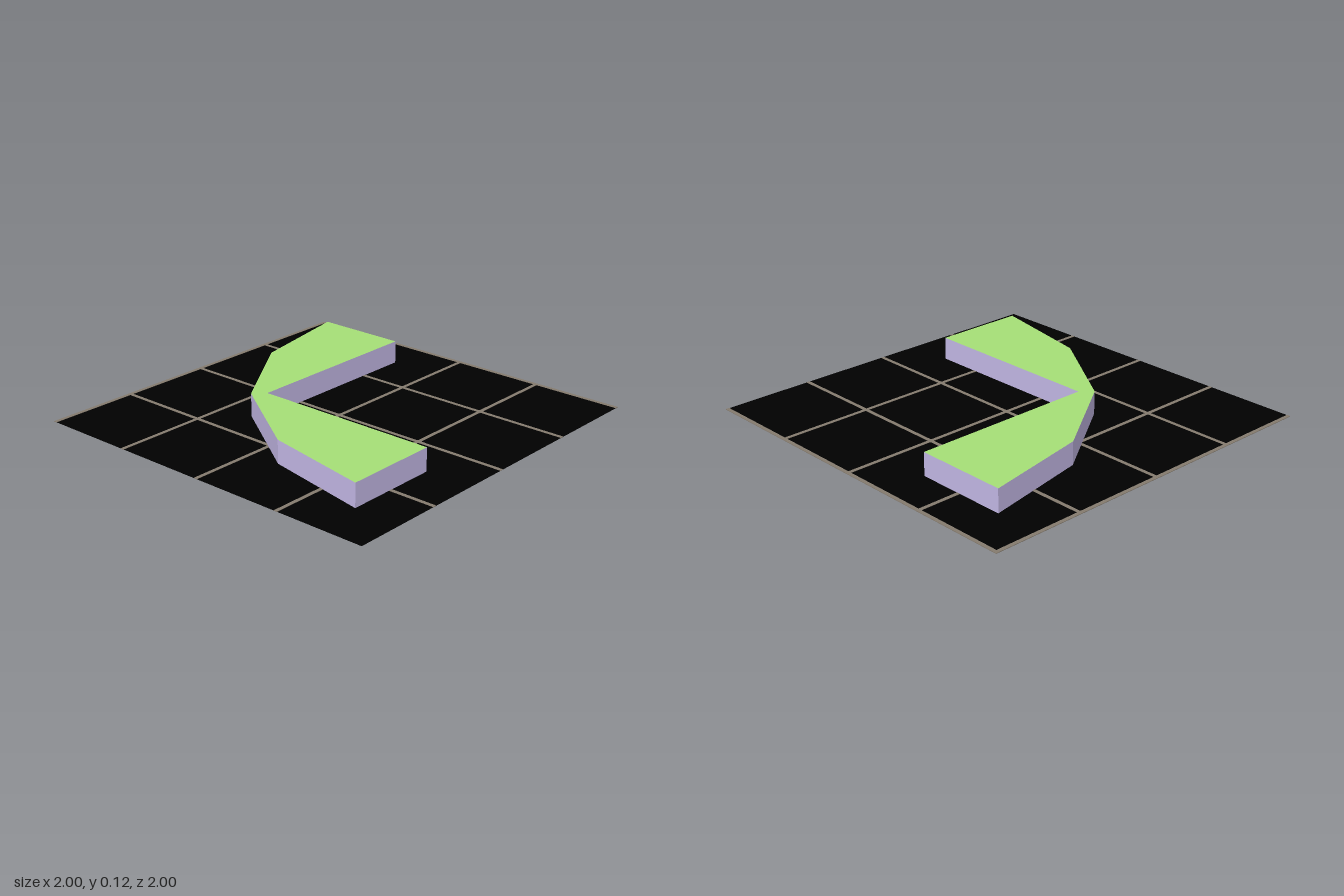
import * as THREE from 'three';

const mat = (name, color, extra = {}) => {
  const m = new THREE.MeshStandardMaterial({ color, ...extra });
  m.name = name;
  return m;
};

export function createModel() {
  const group = new THREE.Group();
  const black = mat('black', 0x000000, { side: THREE.DoubleSide });
  const stone = mat('stone', 0x857b6e);
  const green = mat('green', 0xa6e077);
  const lilac = mat('lilac', 0xc7bbea);
  const grey = mat('grey', 0xe5e5e5);

  const add = (name, geometry, material) => {
    const mesh = new THREE.Mesh(geometry, material);
    mesh.name = name;
    group.add(mesh);
    return mesh;
  };

  // Floor sheet with a grid of joints, each starting on a half-unit line
  // and showing on both faces of the sheet
  const y = 0.003, w = 0.02, t = 0.003;
  add('floor', new THREE.PlaneGeometry(2, 2).rotateX(-Math.PI / 2), black).position.y = y;
  for (const p of [-1, -0.5, 0, 0.5]) {
    add('jointAlongZ', new THREE.BoxGeometry(w, t, 2), stone).position.set(p + w / 2, y, 0);
    add('jointAlongX', new THREE.BoxGeometry(2, t, w), stone).position.set(0, y, p + w / 2);
  }
  // Rounded spots where the joints cross
  for (const x of [-0.5, 0, 0.5]) {
    for (const z of [-0.5, 0, 0.5]) {
      add('jointCrossing', new THREE.CylinderGeometry(0.016, 0.016, t, 8), stone)
        .position.set(x + w / 2, y, z + w / 2);
    }
  }

  // Corner block: L-shaped inside, faceted curve outside, given as x, z
  const outline = [
    [-0.75, -0.755], [-0.64, -0.18], [-0.31, 0.31], [0.18, 0.635],
    [0.75, 0.75], [0.75, 0.25], [-0.255, 0.25], [-0.255, -0.755],
  ];
  const shape = new THREE.Shape(outline.map(([x, z]) => new THREE.Vector2(x, -z)));
  const geometry = new THREE.ExtrudeGeometry(shape, { depth: 0.125, bevelEnabled: false });
  geometry.rotateX(-Math.PI / 2);

  // The cap group holds the underside first, then the top
  const [caps, sides] = geometry.groups.map((g) => ({ ...g }));
  const half = caps.count / 2;
  geometry.clearGroups();
  geometry.addGroup(caps.start, half, 0);
  geometry.addGroup(caps.start + half, half, 1);
  geometry.addGroup(sides.start, sides.count, 2);
  add('cornerBlock', geometry, [grey, green, lilac]);

  return group;
}
